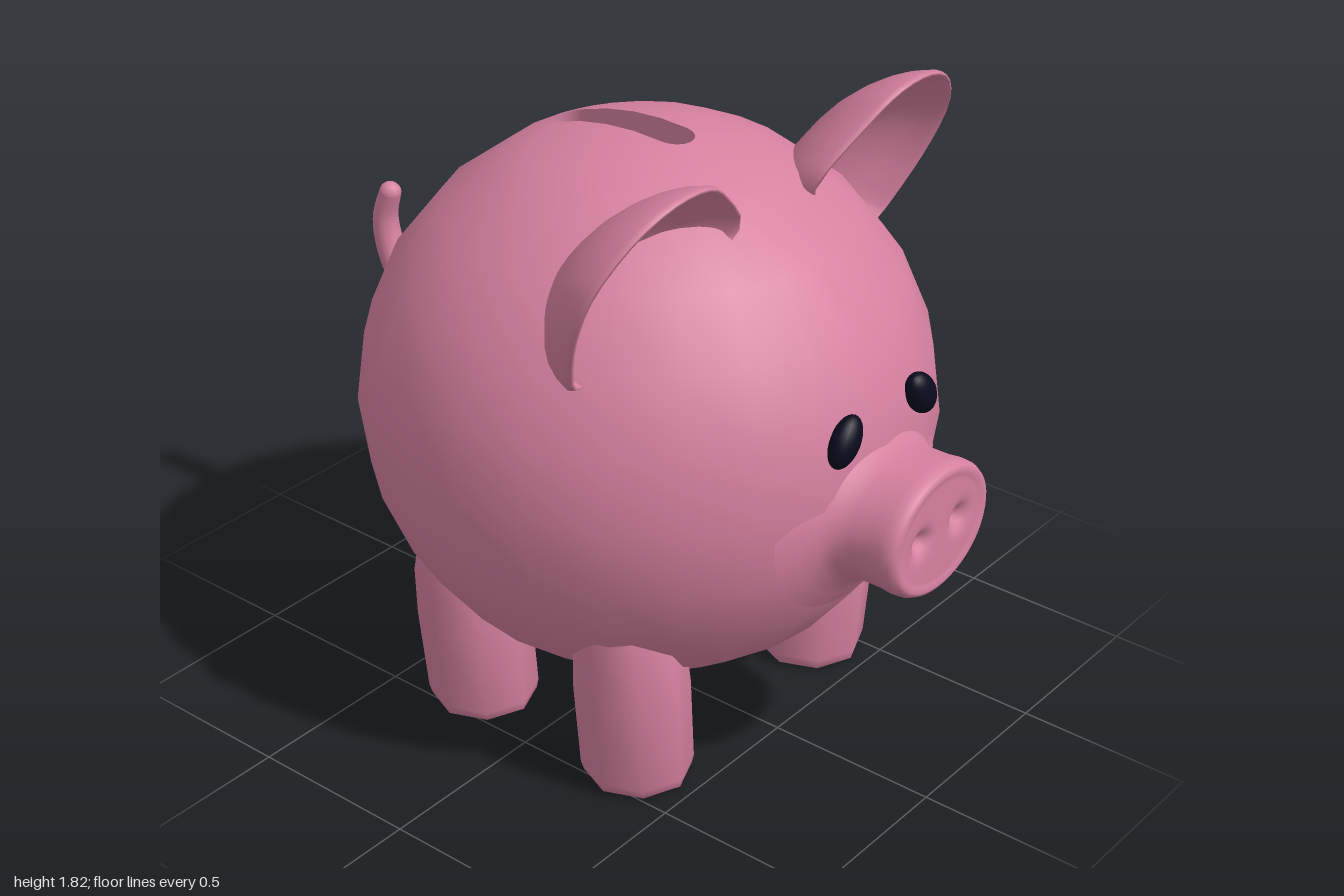
import * as THREE from 'three';
import { mergeVertices, toCreasedNormals } from 'three/addons/utils/BufferGeometryUtils.js';

const pink = new THREE.MeshStandardMaterial({ color: 0xd6819f });
pink.name = 'pink';
const navy = new THREE.MeshStandardMaterial({ color: 0x0a0a1e });
navy.name = 'dark navy';

// Body ellipsoid
const C = { x: 0, y: 0.925, z: 0.03 }, R = { x: 0.78, y: 0.775, z: 0.8 };

// Weld seams and shade smoothly
function smooth(geo) {
  geo.deleteAttribute('uv');
  geo.deleteAttribute('normal');
  const g = mergeVertices(geo, 1e-5);
  g.computeVertexNormals();
  return g;
}

// Skin a list of closed rings of equal length
function loft(rings) {
  const n = rings[0].length, index = [];
  for (let r = 0; r < rings.length - 1; r++) {
    for (let i = 0; i < n; i++) {
      const a = r * n + i, b = r * n + (i + 1) % n;
      index.push(a, b, a + n, b, b + n, a + n);
    }
  }
  const geo = new THREE.BufferGeometry().setFromPoints(rings.flat());
  geo.setIndex(index);
  return smooth(geo);
}

function mesh(name, geo, mat = pink) {
  const m = new THREE.Mesh(geo, mat);
  m.name = name;
  return m;
}

// Round body whose top rings open into the recessed coin slot
function makeBody() {
  const N = 24, w = 0.055, z0 = -0.245, z1 = 0.115;
  const slotPoint = (i) => {
    if (i >= 2 && i <= 10) {
      const a = (i - 2) / 8 * Math.PI;
      return [w * Math.cos(a), z1 + w * Math.sin(a)];
    }
    if (i >= 14 && i <= 22) {
      const a = Math.PI + (i - 14) / 8 * Math.PI;
      return [w * Math.cos(a), z0 + w * Math.sin(a)];
    }
    if (i > 10 && i < 14) return [-w, THREE.MathUtils.lerp(z1, z0, (i - 10) / 4)];
    return [w, THREE.MathUtils.lerp(z0, z1, ((i + 2) % N) / 4)];
  };
  const ring = (fn) => Array.from({ length: N }, (_, i) => fn(i, i / N * Math.PI * 2));
  const latitude = (phi) => ring((i, a) => new THREE.Vector3(
    R.x * Math.sin(phi) * Math.cos(a),
    C.y + R.y * Math.cos(phi),
    C.z + R.z * Math.sin(phi) * Math.sin(a)));
  const first = latitude(Math.PI / 6);
  const blend = (t, drop = 0) => ring((i) => {
    const [sx, sz] = slotPoint(i);
    const x = THREE.MathUtils.lerp(sx, first[i].x, t), z = THREE.MathUtils.lerp(sz, first[i].z, t);
    const y = C.y + R.y * Math.sqrt(1 - (x / R.x) ** 2 - ((z - C.z) / R.z) ** 2);
    return new THREE.Vector3(x, y - drop, z);
  });
  const floor = blend(0, 0.09);
  const spine = floor.map((p) => new THREE.Vector3(0, p.y, THREE.MathUtils.clamp(p.z, z0, z1)));
  const rings = [spine, floor, blend(0), blend(0.33), blend(0.67)];
  for (let k = 2; k <= 12; k++) rings.push(latitude(k * Math.PI / 12));
  return mesh('body', toCreasedNormals(loft(rings), 0.9));
}

// Oval snout, flared into the face, with two pressed nostrils
function makeSnout() {
  const profile = [[1.6, 0.73], [1.35, 0.765], [1.14, 0.79], [1.03, 0.82], [0.98, 0.86],
    [0.98, 0.92], [1, 0.955], [0.99, 0.978], [0.95, 0.993], [0.89, 1]];
  for (let s = 0.82; s > 0.05; s -= 0.07) profile.push([s, 0.994]);
  profile.push([0, 0.994]);
  const geo = new THREE.LatheGeometry(profile.map(([r, z]) => new THREE.Vector2(r, z)), 48);
  geo.rotateX(Math.PI / 2);
  geo.scale(0.222, 0.18, 1);
  const p = geo.attributes.position;
  for (let i = 0; i < p.count; i++) {
    if (p.getZ(i) < 0.99) continue;
    const d2 = (Math.abs(p.getX(i)) - 0.085) ** 2 + p.getY(i) ** 2;
    p.setZ(i, p.getZ(i) - 0.035 * Math.exp(-d2 / 0.0009));
  }
  geo.translate(0, 0.84, 0);
  return mesh('snout', smooth(geo));
}

// Cupped ear: inner bowl, rolled rim, outer bowl
function makeEar(side) {
  const outline = [[0.15, 1.58], [0.29, 1.74], [0.39, 1.805], [0.52, 1.815], [0.65, 1.76], [0.745, 1.63],
    [0.745, 1.5], [0.70, 1.37], [0.635, 1.275], [0.5, 1.32], [0.3, 1.44]]
    .map(([x, y]) => new THREE.Vector3(x, y, 0));
  const rim = new THREE.CatmullRomCurve3(outline, true).getPoints(32).slice(0, -1);
  const centre = new THREE.Vector3(0.48, 1.52, 0);
  const ring = (s, depth) => {
    const pts = rim.map((p) => {
      const q = centre.clone().lerp(p, s);
      q.z = 0.31 + 0.435 * (q.y - 1.27) - depth;
      q.x *= side;
      return q;
    });
    return side < 0 ? pts.reverse() : pts;
  };
  const bowl = (s, depth) => depth * Math.pow(1 - s * s, 0.6);
  const steps = [0, 0.25, 0.45, 0.62, 0.76, 0.87, 0.95];
  const inner = steps.map((s) => ring(s * 0.94, bowl(s, 0.18)));
  const outer = steps.map((s) => ring(s, bowl(s, 0.23))).reverse();
  const edge = [ring(0.93, 0.012), ring(0.96, -0.008), ring(0.985, -0.005), ring(1, 0.012)];
  return mesh(side > 0 ? 'leftEar' : 'rightEar', loft([...inner, ...edge, ...outer]));
}

// Eight-sided leg leaning outward toward the foot's outer side
function makeLeg(name, side, z) {
  const profile = [[0, 0], [0.125, 0], [0.148, 0.012], [0.155, 0.04], [0.158, 0.3], [0.15, 0.45], [0.115, 0.6], [0, 0.6]];
  const geo = new THREE.LatheGeometry(profile.map(([r, y]) => new THREE.Vector2(r, y)), 8);
  const p = geo.attributes.position;
  for (let i = 0; i < p.count; i++) {
    const y = p.getY(i);
    p.setX(i, p.getX(i) + side * (0.395 + 0.1 * y));
    p.setZ(i, p.getZ(i) + z * (1 + 0.04 * y));
  }
  return mesh(name, toCreasedNormals(smooth(geo), 0.9));
}

// Tapered tail curling upward
function makeTail() {
  const path = new THREE.CatmullRomCurve3([[0.94, -0.72], [0.945, -0.83], [0.995, -0.905],
    [1.08, -0.945], [1.155, -0.953], [1.23, -0.93]].map(([y, z]) => new THREE.Vector3(0, y, z)));
  const steps = 20, sides = 10;
  const geo = new THREE.TubeGeometry(path, steps, 0.047, sides, false);
  const p = geo.attributes.position, v = new THREE.Vector3();
  for (let i = 0; i < p.count; i++) {
    const t = Math.floor(i / (sides + 1)) / steps, c = path.getPointAt(t);
    v.fromBufferAttribute(p, i).sub(c).multiplyScalar(1 - 0.3 * t * t).add(c);
    p.setXYZ(i, v.x, v.y, v.z);
  }
  const tip = mesh('tailTip', new THREE.SphereGeometry(0.033, 10, 8));
  tip.position.copy(path.getPoint(1));
  const tail = new THREE.Group();
  tail.name = 'tail';
  tail.add(mesh('tailCurl', smooth(geo)), tip);
  return tail;
}

function makeEye(side) {
  const eye = mesh(side > 0 ? 'leftEye' : 'rightEye', new THREE.SphereGeometry(1, 20, 14), navy);
  eye.scale.set(0.047, 0.073, 0.036);
  eye.position.set(side * 0.167, 1.105, 0.802);
  eye.rotation.z = side * 0.6;
  return eye;
}

export function createModel() {
  const pig = new THREE.Group();
  pig.name = 'piggyBank';
  pig.add(makeBody(), makeSnout(), makeTail());
  for (const side of [1, -1]) {
    const label = side > 0 ? 'Left' : 'Right';
    pig.add(makeEar(side), makeEye(side));
    pig.add(makeLeg('front' + label + 'Leg', side, 0.32));
    pig.add(makeLeg('back' + label + 'Leg', side, -0.245));
  }
  return pig;
}
